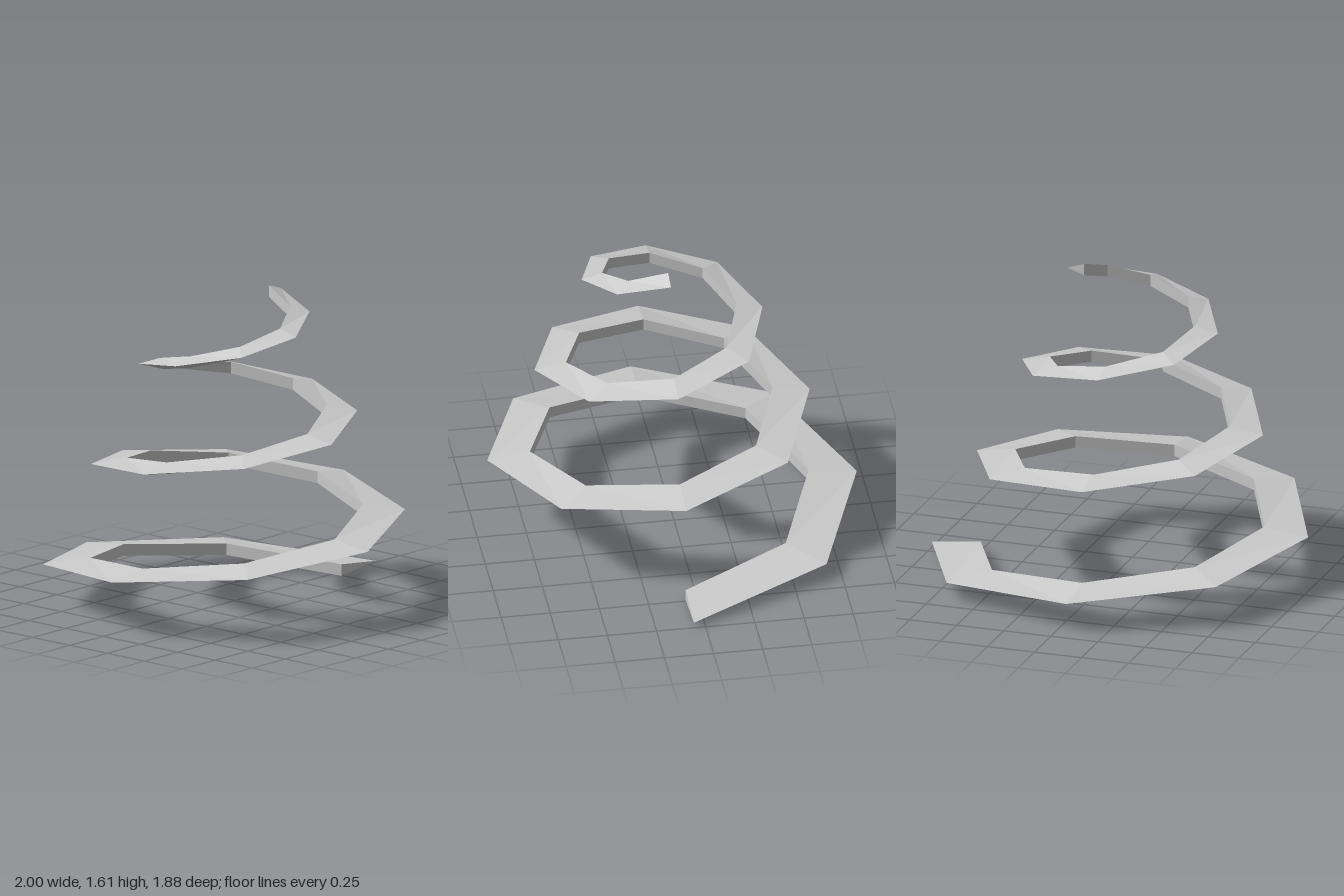
import * as THREE from 'three';

const TURNS = 3;
const SIDES = 8; // straight segments per turn
const HALF_HEIGHT = 0.03;

// Triangular cross-section at t turns: inner bottom, outer edge, inner top
function crossSection(t) {
  const angle = t * Math.PI * 2;
  const inner = 0.8 - 0.1833 * t;
  const outer = 1.06 - 0.24 * t;
  const y = HALF_HEIGHT + 0.515 * t;
  const point = (r, h) => [-0.06 + r * Math.cos(angle), h, 0.06 - r * Math.sin(angle)];
  return [point(inner, y - HALF_HEIGHT), point(outer, y), point(inner, y + HALF_HEIGHT)];
}

function spiralGeometry() {
  const steps = TURNS * SIDES;
  const positions = [];
  const triangle = (a, b, c) => positions.push(...a, ...b, ...c);

  // Three bands along each segment
  for (let k = 0; k < steps; k++) {
    const p = crossSection(k / SIDES);
    const q = crossSection((k + 1) / SIDES);
    for (let i = 0; i < 3; i++) {
      const j = (i + 1) % 3;
      triangle(p[i], q[i], p[j]);
      triangle(p[j], q[i], q[j]);
    }
  }

  // End caps
  const [a, b, c] = crossSection(0);
  triangle(a, b, c);
  const [d, e, f] = crossSection(TURNS);
  triangle(d, f, e);

  const geometry = new THREE.BufferGeometry();
  geometry.setAttribute('position', new THREE.Float32BufferAttribute(positions, 3));
  geometry.computeVertexNormals();
  return geometry;
}

export function createModel() {
  const group = new THREE.Group();
  group.name = 'conicalSpiral';
  const material = new THREE.MeshStandardMaterial({ color: 0xcccccc, flatShading: true });
  const spiral = new THREE.Mesh(spiralGeometry(), material);
  spiral.name = 'spiralBand';
  group.add(spiral);
  return group;
}
